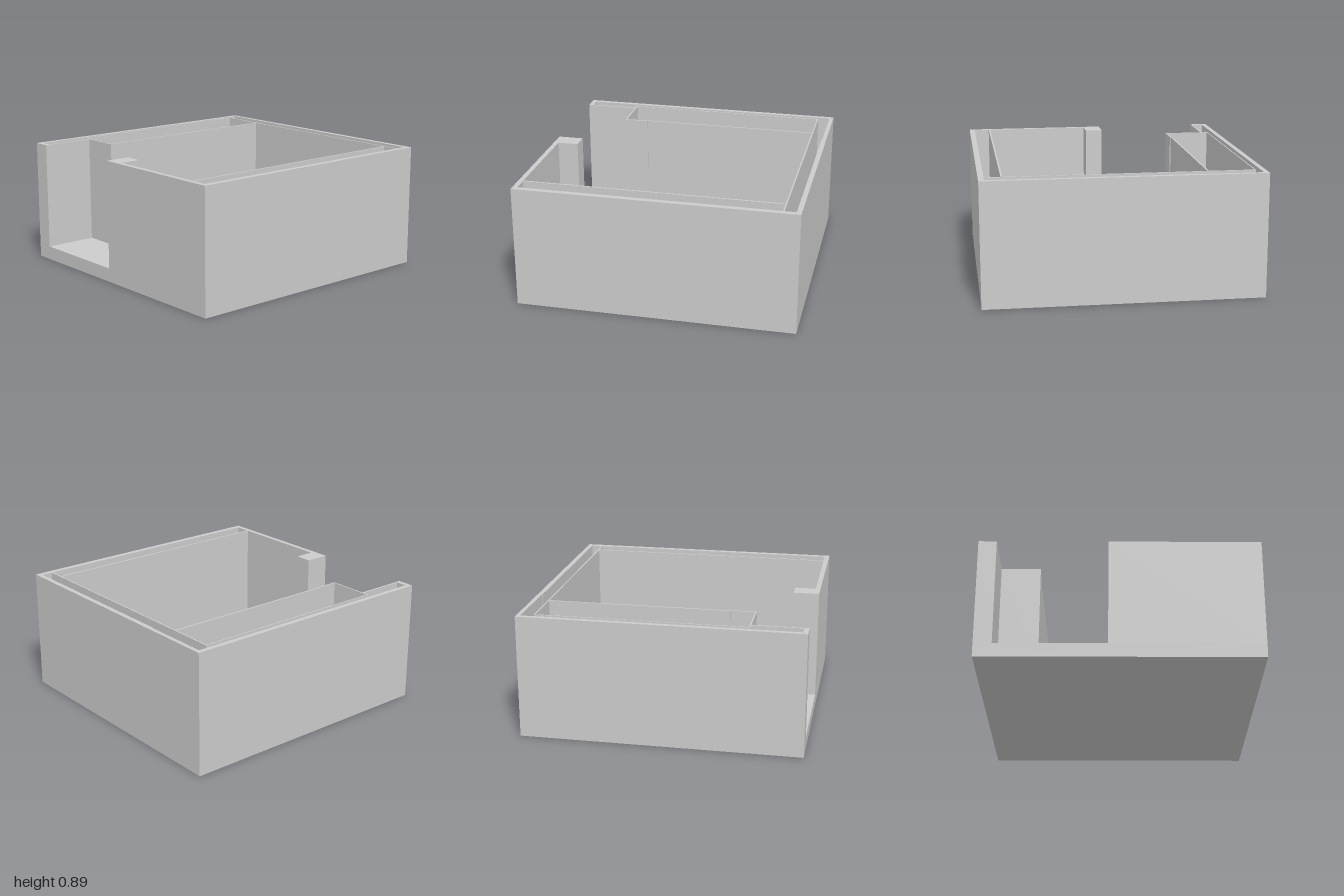
import * as THREE from 'three';

const WIDTH = 1.97, DEPTH = 2, HEIGHT = 0.885, FLOOR = 0.1;

// Plan points are [x, z]; the shape's y is -z so the extrusion can be stood upright.
const toPlan = (points) => points.map(([x, z]) => new THREE.Vector2(x, -z));

export function createModel() {
  const group = new THREE.Group();
  group.name = 'roomBox';
  const material = new THREE.MeshStandardMaterial({ color: 0xcccccc, flatShading: true });

  // Floor slab
  const floor = new THREE.Mesh(new THREE.BoxGeometry(WIDTH, FLOOR, DEPTH), material);
  floor.name = 'floor';
  floor.position.y = FLOOR / 2;
  group.add(floor);

  // Wall plan: outer rectangle, entered through the front opening into the main room
  const plan = new THREE.Shape(toPlan([
    [-0.985, 1], [-0.857, 1], [-0.857, 0.61], [-0.572, 0.61], [-0.572, 0.43],
    [-0.578, 0.43], [-0.578, -0.875], [0.82, -0.875], [0.82, 0.965],
    [0.05, 0.965], [0.05, 0.815], [-0.08, 0.815], [-0.08, 1],
    [0.985, 1], [0.985, -1], [-0.985, -1],
  ]));

  // Closet beside the main room
  const closet = [
    [-0.908, -0.875], [-0.59, -0.875], [-0.59, 0.43],
    [-0.583, 0.43], [-0.583, 0.6], [-0.908, 0.6],
  ];
  // Narrow cavity running along the back and one side
  const backCavity = [
    [-0.95, -0.97], [-0.45, -0.97], [-0.45, -0.965], [0.945, -0.965], [0.945, -0.885],
    [-0.916, -0.885], [-0.916, 0.61], [-0.87, 0.61], [-0.87, 0.965], [-0.95, 0.965],
  ];
  // Cavity along the other side
  const sideCavity = [[0.832, -0.875], [0.945, -0.875], [0.945, 0.965], [0.832, 0.965]];
  for (const hole of [closet, backCavity, sideCavity]) plan.holes.push(new THREE.Path(toPlan(hole)));

  const wallGeometry = new THREE.ExtrudeGeometry(plan, { depth: HEIGHT - FLOOR, bevelEnabled: false });
  wallGeometry.rotateX(-Math.PI / 2);
  const walls = new THREE.Mesh(wallGeometry, material);
  walls.name = 'walls';
  walls.position.y = FLOOR;
  group.add(walls);

  return group;
}
